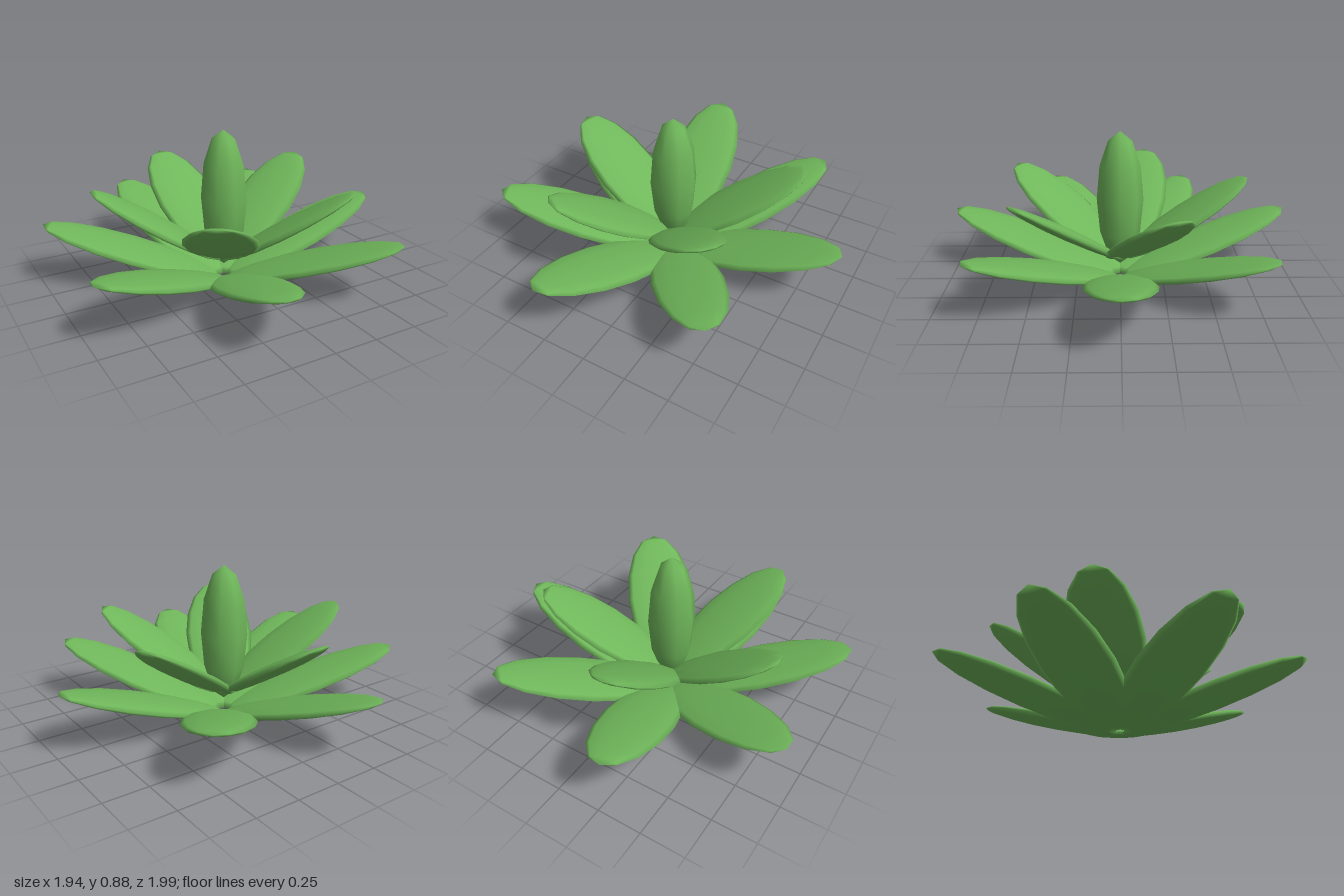
import * as THREE from 'three';

const leafGreen = new THREE.MeshStandardMaterial({ color: 0x6fb65a });
leafGreen.name = 'leaf green';

// Flattened ellipsoid leaf whose long axis points outward along +x and rises by tilt
function leafGeometry(length, width, thickness, tilt, radius, height) {
  const g = new THREE.SphereGeometry(1, 12, 8);
  g.scale(thickness / 2, length / 2, width / 2);
  g.rotateZ(tilt - Math.PI / 2);
  g.translate(radius, height, 0);
  return g;
}

// Ring of equal leaves around the stem
function leafRing(name, count, startAngle, geometry) {
  const ring = new THREE.Group();
  ring.name = name + 'Ring';
  for (let i = 0; i < count; i++) {
    const leaf = new THREE.Mesh(geometry, leafGreen);
    leaf.name = name;
    leaf.rotation.y = startAngle + (i / count) * Math.PI * 2;
    ring.add(leaf);
  }
  return ring;
}

export function createModel() {
  const model = new THREE.Group();
  model.name = 'succulent';
  const plant = new THREE.Group();
  plant.name = 'rosette';
  plant.position.x = -0.05;
  model.add(plant);

  // Low outer leaves and steeper inner leaves
  plant.add(leafRing('outerLeaf', 7, 0, leafGeometry(1.06, 0.4, 0.07, 0.332, 0.52, 0.176)));
  plant.add(leafRing('innerLeaf', 5, 0.4, leafGeometry(0.86, 0.41, 0.07, 0.576, 0.38, 0.357)));

  // Upright centre bud
  const budGeometry = new THREE.SphereGeometry(1, 8, 6);
  budGeometry.scale(0.135, 0.4, 0.135);
  const bud = new THREE.Mesh(budGeometry, leafGreen);
  bud.name = 'centreBud';
  bud.position.y = 0.48;
  plant.add(bud);

  return model;
}
